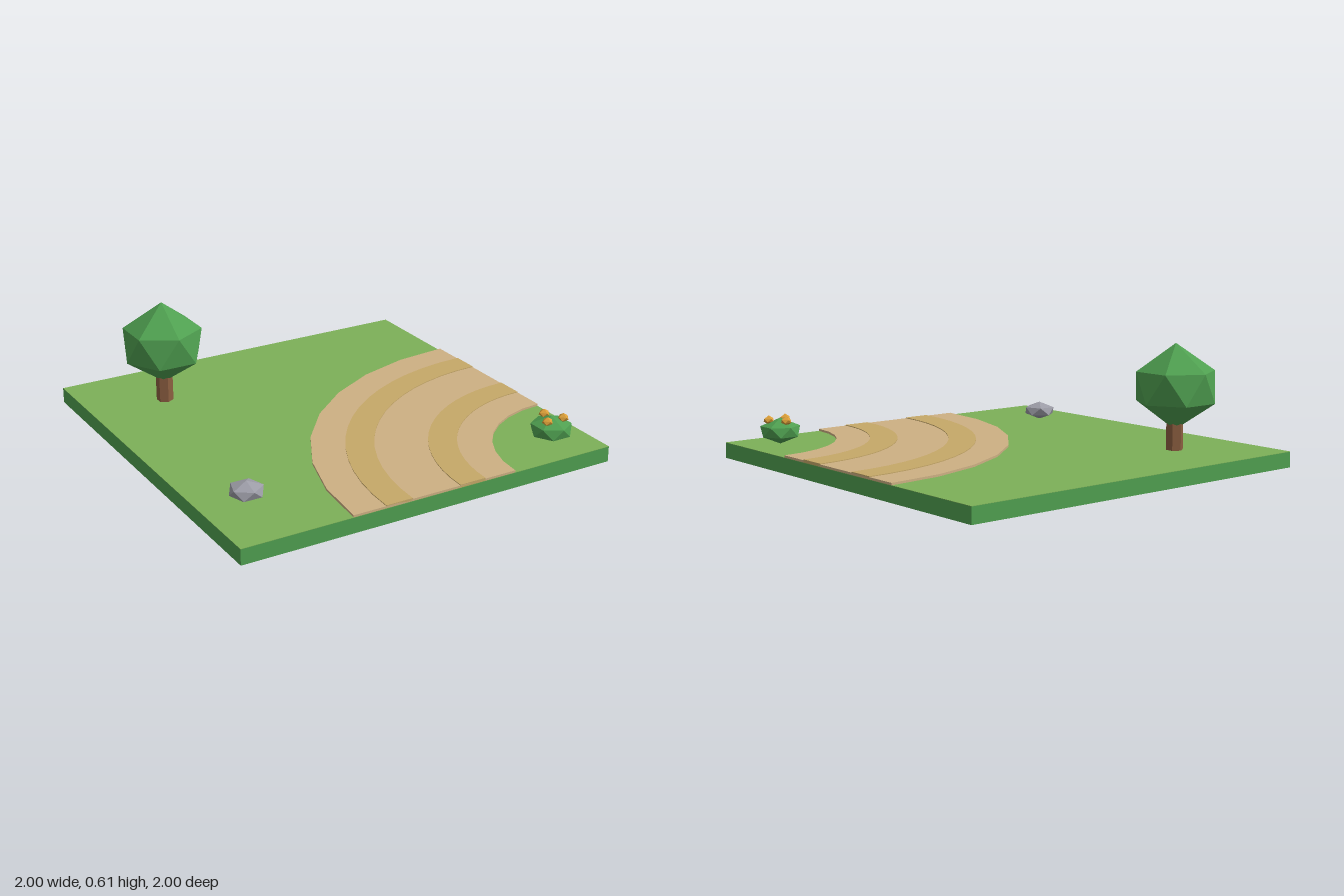
import * as THREE from 'three';

const GREEN = 0x4f9f50;

function addMesh(parent, name, geometry, color, x = 0, y = 0, z = 0) {
  const material = new THREE.MeshStandardMaterial({ color, flatShading: true });
  const mesh = new THREE.Mesh(geometry, material);
  mesh.name = name;
  mesh.position.set(x, y, z);
  parent.add(mesh);
  return mesh;
}

// Faceted ball: two poles and two staggered rings of n corners
function facetedBall(n, radius, pole, ring) {
  const pts = [];
  const corner = (i, y, shift) => {
    const a = ((i + shift) / n) * Math.PI * 2;
    return [radius * Math.sin(a), y, radius * Math.cos(a)];
  };
  for (let i = 0; i < n; i++) {
    const a = corner(i, ring, 0), b = corner(i + 1, ring, 0);
    const c = corner(i, -ring, 0.5), d = corner(i + 1, -ring, 0.5);
    pts.push([0, pole, 0], a, b);
    pts.push(a, c, b);
    pts.push(b, c, d);
    pts.push([0, -pole, 0], d, c);
  }
  const geometry = new THREE.BufferGeometry();
  geometry.setAttribute('position', new THREE.Float32BufferAttribute(pts.flat(), 3));
  geometry.computeVertexNormals();
  return geometry;
}

// Quarter-ring slab around the front left corner of the tile
function quarterRing(inner, outer, height, segments) {
  const arc = (r) => Array.from({ length: segments + 1 }, (_, i) => {
    const a = (i / segments) * Math.PI / 2;
    return new THREE.Vector2(1 - r * Math.cos(a), -1 + r * Math.sin(a));
  });
  const shape = new THREE.Shape([...arc(outer), ...arc(inner).reverse()]);
  const geometry = new THREE.ExtrudeGeometry(shape, { depth: height, bevelEnabled: false });
  return geometry.rotateX(-Math.PI / 2);
}

export function createModel() {
  const model = new THREE.Group();
  model.name = 'pathCornerTile';

  // Ground tile with a lighter grass layer
  addMesh(model, 'groundBase', new THREE.BoxGeometry(2, 0.078, 2), GREEN, 0, 0.039, 0);
  addMesh(model, 'grassTop', new THREE.BoxGeometry(2, 0.002, 2), 0x7cb058, 0, 0.079, 0);

  // Curved dirt path with two wheel tracks
  const path = new THREE.Group();
  path.name = 'dirtPath';
  model.add(path);
  addMesh(path, 'pathSurface', quarterRing(0.56, 1.44, 0.011, 8), 0xcdb083, 0, 0.08, 0);
  for (const r of [0.8, 1.2]) {
    addMesh(path, 'wheelTrack', quarterRing(r - 0.07, r + 0.07, 0.015, 16), 0xc6a868, 0, 0.08, 0);
  }

  // Tree
  const tree = new THREE.Group();
  tree.name = 'tree';
  tree.position.set(-0.6, 0.08, -0.6);
  model.add(tree);
  addMesh(tree, 'trunk', new THREE.CylinderGeometry(0.043, 0.043, 0.16, 6), 0x8b5e40, 0, 0.08, 0);
  addMesh(tree, 'foliage', facetedBall(6, 0.2, 0.215, 0.077), GREEN, 0, 0.315, 0);

  // Rock
  addMesh(model, 'rock', facetedBall(5, 0.08, 0.048, 0.02), 0x9c9ca6, -0.76, 0.122, 0.6);

  // Bush with blossoms
  const bush = new THREE.Group();
  bush.name = 'bush';
  bush.position.set(0.8, 0.145, 0.8);
  model.add(bush);
  addMesh(bush, 'bushLeaves', facetedBall(6, 0.1, 0.066, 0.025), GREEN);
  for (const [x, z] of [[0, -0.058], [-0.048, 0.03], [0.048, 0.03]]) {
    addMesh(bush, 'blossom', facetedBall(4, 0.026, 0.024, 0.008), 0xdc9f38, x, 0.055, z);
  }

  return model;
}
